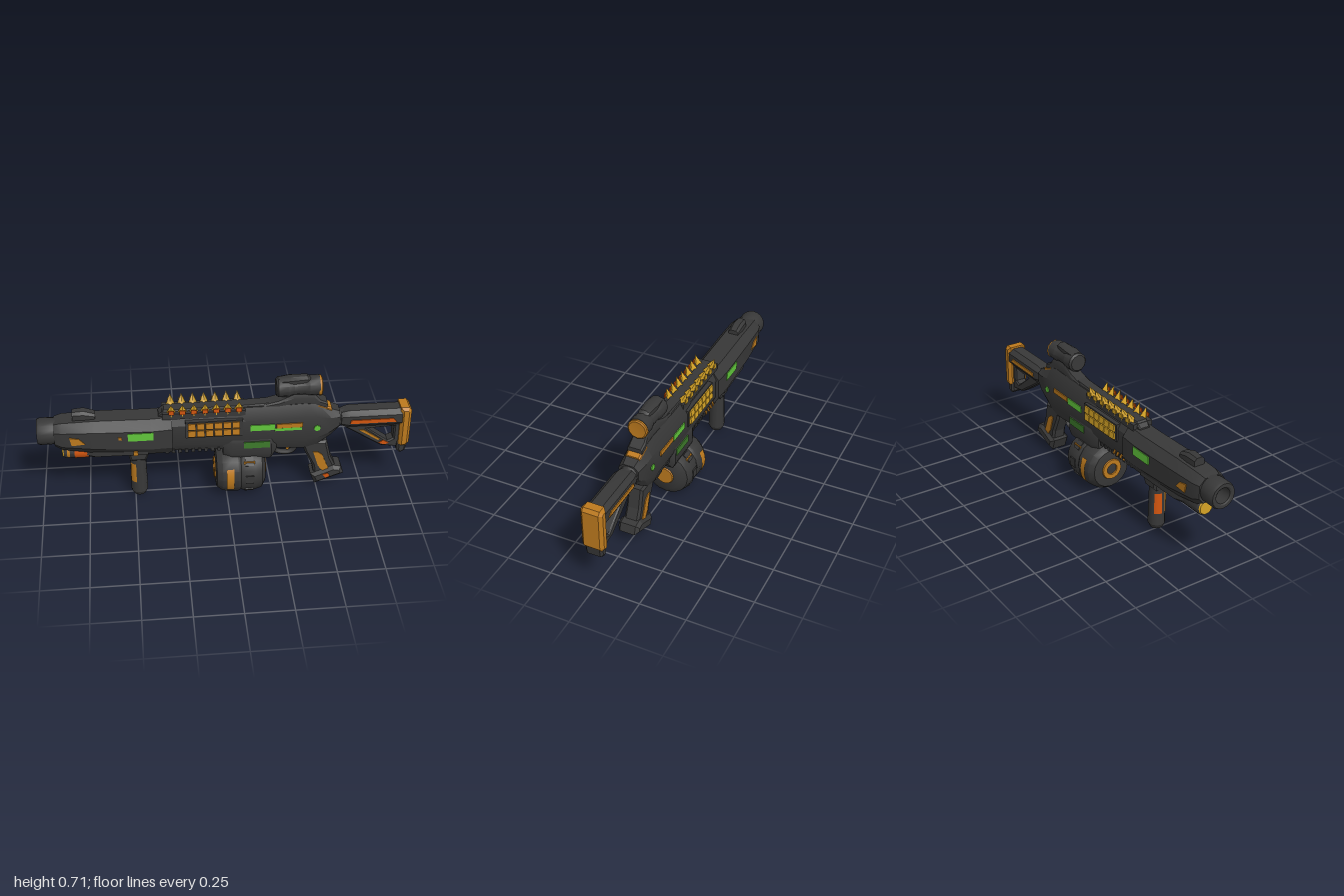
import * as THREE from 'three';
import { toCreasedNormals } from 'three/addons/utils/BufferGeometryUtils.js';

const mat = (name, color) => {
  const m = new THREE.MeshStandardMaterial({ color });
  m.name = name;
  return m;
};

export function createModel() {
  const model = new THREE.Group();
  model.name = 'rifle';
  const dark = mat('charcoal', 0x383838);
  const orange = mat('burnt orange', 0xbd7a1e);
  const gold = mat('gold', 0xd6a426);
  const red = mat('red orange', 0xd4560f);
  const green = mat('bright green', 0x62c83c);
  const moss = mat('dark green', 0x3d7a2b);

  const add = (name, geo, material, x = 0, y = 0, z = 0) => {
    const m = new THREE.Mesh(geo, material);
    m.name = name;
    m.position.set(x, y, z);
    model.add(m);
    return m;
  };
  const box = (name, x0, x1, y0, y1, w, material) =>
    add(name, new THREE.BoxGeometry(x1 - x0, y1 - y0, 2 * w), material, (x0 + x1) / 2, (y0 + y1) / 2);

  // Skin over chamfered cross-sections; each station is [x, bottom, top, half width]
  const loft = (name, stations, material, topW = 0.55, botW = 0.62, ch = 0.24) => {
    const pos = [], idx = [];
    for (const [x, b, t, w] of stations) {
      const c = (t - b) * ch;
      const half = [[w * botW, b], [w, b + c], [w, t - c], [w * topW, t]];
      for (const [z, y] of half) pos.push(x, y, z);
      for (const [z, y] of half.reverse()) pos.push(x, y, -z);
    }
    const n = stations.length;
    for (let i = 0; i < n - 1; i++) for (let j = 0; j < 8; j++) {
      const a = i * 8 + j, b = i * 8 + (j + 1) % 8;
      idx.push(a, a + 8, b, b, a + 8, b + 8);
    }
    const e = (n - 1) * 8;
    for (let j = 1; j < 7; j++) {
      idx.push(0, j, j + 1);
      idx.push(e, e + j + 1, e + j);
    }
    const g = new THREE.BufferGeometry();
    g.setAttribute('position', new THREE.Float32BufferAttribute(pos, 3));
    g.setIndex(idx);
    return add(name, toCreasedNormals(g, 0.5), material);
  };

  // Side outline given thickness about z = 0, with optional holes
  const slab = (name, pts, w, material, holes = [], bevel = 0.012) => {
    const v = p => p.map(q => new THREE.Vector2(...q));
    const s = new THREE.Shape(v(pts));
    holes.forEach(h => s.holes.push(new THREE.Path(v(h))));
    const g = new THREE.ExtrudeGeometry(s, {
      depth: 2 * (w - bevel), bevelEnabled: bevel > 0, bevelSize: bevel,
      bevelThickness: bevel, bevelOffset: -bevel, bevelSegments: 1
    });
    return add(name, g, material, 0, 0, -(w - bevel));
  };

  // Thin painted plate at depth z, on the front and, if given a colour, the back
  const plate = (name, pts, z, front, back) => {
    const s = new THREE.Shape(pts.map(q => new THREE.Vector2(...q)));
    const g = new THREE.ExtrudeGeometry(s, { depth: 0.008, bevelEnabled: false });
    add(name + 'Front', g, front, 0, 0, z - 0.004);
    if (back) add(name + 'Back', g, back, 0, 0, -z - 0.004);
  };
  const rect = (x0, x1, y0, y1) => [[x0, y0], [x1, y0], [x1, y1], [x0, y1]];

  // Revolved part along x; profile is [radius, x]
  const turned = (name, profile, y, material, seg = 20) => {
    const g = new THREE.LatheGeometry(profile.map(p => new THREE.Vector2(...p)), seg);
    g.rotateZ(-Math.PI / 2);
    return add(name, toCreasedNormals(g, 0.55), material, 0, y, 0);
  };

  // Painted arc on a part that runs along x, facing +z
  const arcX = (name, r, len, spread, material, x, y) => {
    const g = new THREE.CylinderGeometry(r, r, len, 8, 1, true, -spread, 2 * spread);
    g.rotateZ(-Math.PI / 2);
    return add(name, g, material, x, y, 0);
  };

  // Barrel and forward shroud
  turned('muzzle', [[0, -0.9], [0.042, -0.9], [0.042, -0.995], [0.05, -1], [0.067, -1], [0.073, -0.985],
    [0.072, -0.92], [0.068, -0.9], [0.068, -0.8]], 0.44, dark);
  loft('shroud', [[-0.91, 0.37, 0.505, 0.075], [-0.87, 0.35, 0.515, 0.088], [-0.7, 0.32, 0.52, 0.092],
    [-0.4, 0.295, 0.515, 0.092], [-0.29, 0.295, 0.52, 0.088]], dark);
  loft('frontSight', [[-0.81, 0.5, 0.56, 0.03], [-0.75, 0.5, 0.565, 0.034], [-0.69, 0.5, 0.545, 0.03]], dark);
  plate('muzzleMark', [[-0.83, 0.45], [-0.82, 0.4], [-0.75, 0.405], [-0.78, 0.44]], 0.091, orange, orange);
  plate('shroudWindow', rect(-0.525, -0.39, 0.41, 0.457), 0.092, green, green);
  plate('shroudDot', rect(-0.575, -0.557, 0.42, 0.438), 0.092, orange);

  // Lamp under the barrel
  turned('lamp', [[0, -0.87], [0.042, -0.87], [0.048, -0.86], [0.048, -0.73], [0.04, -0.7], [0.04, -0.55], [0, -0.5]], 0.315, dark, 14);
  turned('lampLens', [[0, -0.878], [0.038, -0.878], [0.044, -0.866]], 0.315, gold, 14);
  arcX('lampBand', 0.051, 0.075, 0.8, red, -0.775, 0.315);
  arcX('lampPatch', 0.05, 0.015, 0.6, orange, -0.845, 0.315);
  loft('lampCradle', [[-0.76, 0.28, 0.38, 0.046], [-0.7, 0.28, 0.36, 0.066], [-0.42, 0.28, 0.36, 0.07]], dark);

  // Vertical fore grip, painted on its muzzle side
  add('foreGrip', new THREE.CylinderGeometry(0.042, 0.046, 0.26, 12), dark, -0.477, 0.155);
  add('foreGripFoot', new THREE.CylinderGeometry(0.046, 0.034, 0.025, 12), dark, -0.477, 0.0125);
  slab('foreGripCollar', [[-0.53, 0.3], [-0.52, 0.24], [-0.435, 0.24], [-0.41, 0.3]], 0.05, dark);
  const gripArc = (start, len) => new THREE.CylinderGeometry(0.045, 0.047, 0.12, 6, 1, true, start, len);
  add('foreGripStripeFront', gripArc(-1.2, 0.9), orange, -0.477, 0.155);
  add('foreGripStripeBack', gripArc(-2.5, 0.9), red, -0.477, 0.155);
  plate('collarMark', rect(-0.5, -0.475, 0.31, 0.335), 0.086, orange);

  // Receiver
  loft('receiver', [[-0.32, 0.3, 0.525, 0.07], [0, 0.29, 0.53, 0.072], [0.1, 0.28, 0.55, 0.074], [0.27, 0.28, 0.55, 0.074],
    [0.42, 0.27, 0.555, 0.072], [0.49, 0.29, 0.545, 0.07], [0.56, 0.34, 0.51, 0.064], [0.61, 0.39, 0.49, 0.055]], dark);
  loft('magazineWell', [[-0.02, 0.25, 0.38, 0.06], [0.03, 0.23, 0.385, 0.079], [0.24, 0.23, 0.385, 0.079], [0.27, 0.27, 0.37, 0.06]], dark, 0.8, 0.8);
  for (let i = 0; i < 9; i++) box('underRib', -0.33 + i * 0.035, -0.312 + i * 0.035, 0.288, 0.31, 0.055, dark);
  for (let i = 0; i < 4; i++)
    add('underMark', new THREE.BoxGeometry(0.012, 0.04, 0.006), orange, -0.27 + i * 0.03, 0.328, -0.0595).rotation.x = 0.43;
  plate('chargeWindow', rect(0.125, 0.255, 0.422, 0.458), 0.075, green, green);
  plate('chargeTail', rect(0.255, 0.4, 0.413, 0.43), 0.074, green);
  plate('chargePanel', rect(0.265, 0.405, 0.431, 0.457), 0.075, orange, orange);
  plate('lowerWindow', rect(0.09, 0.23, 0.313, 0.352), 0.08, moss, moss);
  plate('selectorDot', Array.from({ length: 8 }, (_, i) =>
    [0.485 + 0.018 * Math.cos(i * Math.PI / 4), 0.415 + 0.018 * Math.sin(i * Math.PI / 4)]), 0.071, green, green);
  loft('rearCap', [[0.49, 0.5, 0.551, 0.045], [0.565, 0.49, 0.515, 0.04]], orange, 0.8, 1);

  // Side vents in two rows
  box('ventHousing', -0.22, 0.085, 0.4, 0.5, 0.08, dark);
  for (const side of [1, -1]) for (let row = 0; row < 2; row++) for (let i = 0; i < 6; i++) {
    const m = add('vent', new THREE.BoxGeometry(0.041, 0.035, 0.018), side > 0 ? orange : gold,
      -0.187 + i * 0.047, 0.429 + row * 0.045, side * 0.081);
    m.rotation.x = side * -0.1;
  }

  // Top rail with two rows of spikes leaning outwards
  loft('topRail', [[-0.36, 0.5, 0.525, 0.03], [-0.33, 0.5, 0.553, 0.036], [0.1, 0.5, 0.558, 0.036], [0.28, 0.52, 0.565, 0.034]], dark, 0.8, 1.5);
  box('spikeBase', -0.34, 0.1, 0.51, 0.545, 0.058, dark);
  const spike = new THREE.ConeGeometry(0.028, 0.068, 4);
  const spikeFoot = new THREE.BoxGeometry(0.03, 0.024, 0.006);
  for (let i = 0; i < 7; i++) for (const side of [1, -1]) {
    const x = -0.292 + i * 0.0595;
    add('spike', spike, gold, x, 0.568, side * 0.046).rotation.x = side * 0.35;
    add('spikeFoot', spikeFoot, side > 0 ? red : gold, x, 0.554, side * 0.062);
  }

  // Scope
  loft('scopeMount', [[0.2, 0.53, 0.555, 0.04], [0.28, 0.53, 0.575, 0.042], [0.36, 0.53, 0.61, 0.038],
    [0.47, 0.53, 0.605, 0.038], [0.5, 0.53, 0.57, 0.042], [0.54, 0.52, 0.55, 0.04]], dark, 0.8, 1);
  turned('scopeTube', [[0, 0.265], [0.045, 0.265], [0.055, 0.275], [0.056, 0.33], [0.048, 0.36], [0.048, 0.42],
    [0.055, 0.44], [0.055, 0.495], [0, 0.497]], 0.645, dark, 12);
  turned('rearLens', [[0.055, 0.49], [0.055, 0.505], [0.048, 0.51], [0, 0.506]], 0.642, orange, 12);
  loft('scopeTurret', [[0.28, 0.66, 0.7, 0.03], [0.34, 0.66, 0.708, 0.036], [0.43, 0.66, 0.71, 0.03], [0.45, 0.66, 0.695, 0.025]], dark, 0.4, 1);

  // Drum magazine
  turned('drum', [[0, -0.06], [0.075, -0.06], [0.11, -0.055], [0.132, -0.025], [0.138, 0.02], [0.138, 0.06], [0.13, 0.075],
    [0.136, 0.09], [0.136, 0.15], [0.125, 0.19], [0.09, 0.21], [0, 0.21]], 0.138, dark, 16);
  turned('drumHubFront', [[0.03, -0.058], [0.032, -0.067], [0.057, -0.067], [0.061, -0.058]], 0.138, orange);
  turned('drumHubRear', [[0.052, 0.208], [0.048, 0.217], [0, 0.217]], 0.138, orange);
  for (let i = 0; i < 8; i++) {
    const a = i * Math.PI / 4;
    const rib = add('drumRib', new THREE.BoxGeometry(0.045, 0.012, 0.05), dark, 0.12,
      0.138 + 0.132 * Math.sin(a), 0.132 * Math.cos(a));
    rib.rotation.x = Math.PI / 2 - a;
  }
  for (const turn of [0, Math.PI])
    arcX('drumStripe', 0.1415, 0.04, 0.5, orange, 0.015, 0.138).rotation.y = turn;
  plate('drumLatch', rect(0.09, 0.15, 0.215, 0.235), 0.1, orange, orange);

  // Trigger and guard
  const guard = new THREE.CatmullRomCurve3([[0.255, 0.29], [0.27, 0.235], [0.315, 0.218], [0.365, 0.225], [0.395, 0.29]]
    .map(([x, y]) => new THREE.Vector3(x, y, 0)));
  add('triggerGuard', new THREE.TubeGeometry(guard, 20, 0.011, 8), dark).scale.z = 1.8;
  const trigger = new THREE.CatmullRomCurve3([[0.345, 0.3], [0.352, 0.265], [0.335, 0.235]]
    .map(([x, y]) => new THREE.Vector3(x, y, 0)));
  add('trigger', new THREE.TubeGeometry(trigger, 8, 0.009, 6), orange);

  // Rear grip
  slab('grip', [[0.41, 0.3], [0.43, 0.235], [0.475, 0.14], [0.49, 0.05], [0.62, 0.09], [0.575, 0.19], [0.55, 0.3]], 0.042, dark);
  slab('gripFoot', [[0.465, 0.085], [0.49, 0.02], [0.65, 0.08], [0.635, 0.125], [0.59, 0.135]], 0.06, dark, [], 0.018);
  plate('gripPanel', [[0.475, 0.235], [0.505, 0.14], [0.535, 0.1], [0.565, 0.115], [0.525, 0.215], [0.5, 0.235]], 0.043, orange, orange);
  plate('gripMark', [[0.53, 0.09], [0.55, 0.065], [0.57, 0.08], [0.56, 0.097]], 0.06, red);

  // Stock
  turned('stockCollar', [[0, 0.56], [0.058, 0.56], [0.058, 0.6], [0.046, 0.62], [0.046, 0.66], [0, 0.66]], 0.435, dark, 12);
  loft('stockTube', [[0.62, 0.395, 0.475, 0.048], [0.66, 0.385, 0.487, 0.056], [0.95, 0.385, 0.487, 0.056]], dark);
  slab('stockFrame', [[0.62, 0.4], [0.66, 0.37], [0.85, 0.245], [0.95, 0.23], [0.95, 0.42], [0.64, 0.43]], 0.034, dark,
    [[[0.765, 0.365], [0.885, 0.275], [0.915, 0.29], [0.915, 0.37]]], 0.008);
  plate('stockStripe', [[0.665, 0.42], [0.92, 0.42], [0.9, 0.442], [0.67, 0.442]], 0.057, red, orange);
  plate('strutStripe', [[0.72, 0.362], [0.83, 0.288], [0.84, 0.295], [0.745, 0.362]], 0.035, orange);
  plate('stockMark', [[0.835, 0.268], [0.87, 0.255], [0.89, 0.265], [0.86, 0.285]], 0.035, red);
  slab('buttPad', [[0.942, 0.26], [0.955, 0.245], [0.985, 0.25], [1, 0.27], [1, 0.48], [0.985, 0.498], [0.94, 0.498]], 0.06, orange, [], 0.016);
  slab('buttToe', [[0.935, 0.27], [0.938, 0.215], [0.96, 0.195], [0.985, 0.21], [0.993, 0.265]], 0.048, dark);

  return model;
}
